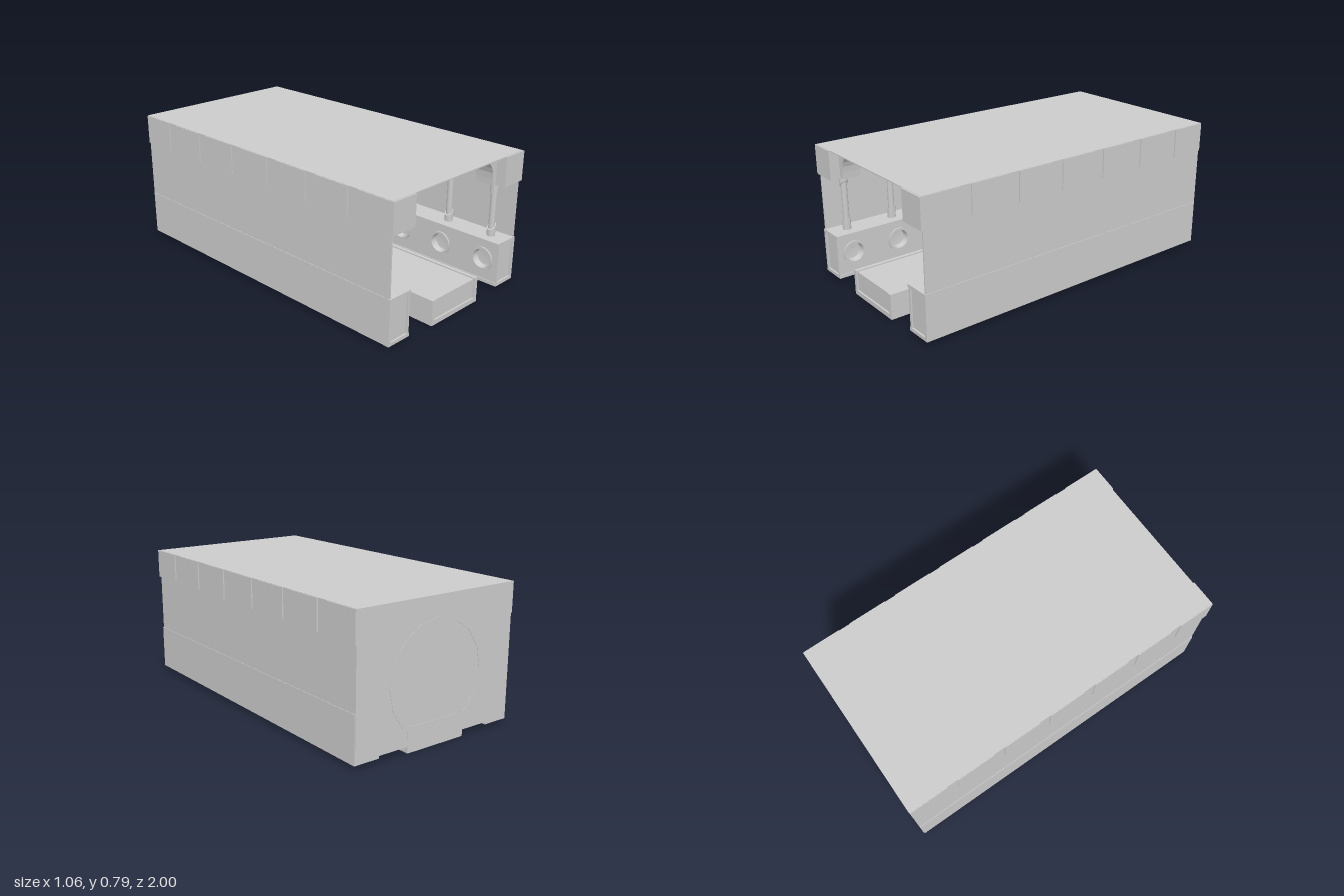
import * as THREE from 'three';
import { toCreasedNormals } from 'three/addons/utils/BufferGeometryUtils.js';

const BAYS = 7, PITCH = 0.295;
const mat = new THREE.MeshStandardMaterial({ color: 0xcccccc });

function add(parent, name, geometry, x = 0, y = 0, z = 0) {
  const mesh = new THREE.Mesh(geometry, mat);
  mesh.name = name;
  mesh.position.set(x, y, z);
  parent.add(mesh);
  return mesh;
}

// Box given by its limits on each axis
function box(parent, name, [x0, x1], [y0, y1], [z0, z1]) {
  const g = new THREE.BoxGeometry(Math.abs(x1 - x0), y1 - y0, z1 - z0);
  return add(parent, name, g, (x0 + x1) / 2, (y0 + y1) / 2, (z0 + z1) / 2);
}

function rectShape(x0, x1, y0, y1) {
  return new THREE.Shape([[x0, y0], [x1, y0], [x1, y1], [x0, y1]].map(p => new THREE.Vector2(...p)));
}

function circlePoints(r, n, cx = 0, cy = 0) {
  return Array.from({ length: n }, (_, i) => {
    const a = i / n * Math.PI * 2;
    return new THREE.Vector2(cx + r * Math.cos(a), cy + r * Math.sin(a));
  });
}

const extrude = (shape, depth) => new THREE.ExtrudeGeometry(shape, { depth, bevelEnabled: false });

// Sleeve whose free end is cut on a slant; end = 1 slants the top, -1 the bottom
function sleeveGeometry(r, h, end) {
  const g = new THREE.CylinderGeometry(r, r, h, 16);
  const p = g.attributes.position;
  for (let i = 0; i < p.count; i++) {
    if (p.getY(i) * end > 0) p.setY(i, p.getY(i) + p.getX(i) * 0.77);
  }
  g.computeVertexNormals();
  return toCreasedNormals(g, 0.7);
}

// Round recessed lamp with a raised rim
function lampGeometry() {
  const profile = [[0.07, -0.005], [0.07, 0.009], [0.056, 0.009], [0.05, -0.03], [0, -0.036]];
  return toCreasedNormals(new THREE.LatheGeometry(profile.map(p => new THREE.Vector2(...p)), 24), 0.6);
}

// Cove bracket between ceiling and block
function bracketGeometry(s, depth) {
  const pts = [[0.37, 0.785], [0.283, 0.785], [0.283, 0.762], [0.309, 0.745], [0.327, 0.72],
    [0.338, 0.69], [0.342, 0.655], [0.344, 0.62], [0.37, 0.62]];
  return extrude(new THREE.Shape(pts.map(([x, y]) => new THREE.Vector2(s * x, y))), depth);
}

function buildSide(s) {
  const side = new THREE.Group();
  side.name = s > 0 ? 'leftSide' : 'rightSide';
  const zs = Array.from({ length: BAYS }, (_, i) => (3 - i) * PITCH);
  const bx = (name, x0, x1, y, z) => box(side, name, [s * x0, s * x1], y, z);

  // Outer wall
  bx('sideWall', 0.517, 0.525, [0.27, 0.785], [-0.995, 0.985]);

  // Low bench: core, framed by top, base and outer plates
  bx('benchCore', 0.415, 0.51, [0.04, 0.262], [-0.995, 0.98]);
  bx('benchTop', 0.371, 0.528, [0.262, 0.28], [-0.995, 0.99]);
  bx('benchBase', 0.373, 0.528, [0.02, 0.04], [-0.995, 0.99]);
  bx('benchOuterPlate', 0.51, 0.528, [0.04, 0.262], [-0.995, 0.99]);

  // Inner bench face, pierced for the lamps
  const face = rectShape(-0.99, 0.99, 0.04, 0.262);
  zs.forEach(z => face.holes.push(new THREE.Path(circlePoints(0.06, 24, z, 0.16))));
  const thick = 0.012;
  const faceGeo = extrude(face, thick).rotateY(Math.PI / 2);
  add(side, 'benchInnerFace', faceGeo, s > 0 ? 0.378 : -0.378 - thick, 0, 0);
  bx('benchFrontFill', 0.39, 0.415, [0.04, 0.262], [0.97, 0.98]);

  const lamp = lampGeometry();
  const shaft = new THREE.CylinderGeometry(0.018, 0.018, 0.34, 16, 1, true);
  const lowSleeve = sleeveGeometry(0.024, 0.056, 1);
  const highSleeve = sleeveGeometry(0.024, 0.061, -1);
  const bracket = bracketGeometry(s, 0.11);

  zs.forEach(z => {
    add(side, 'lamp', lamp, s * 0.378, 0.16, z).rotation.z = s * Math.PI / 2;
    add(side, 'columnShaft', shaft, s * 0.448, 0.447, z);
    add(side, 'columnLowerSleeve', lowSleeve, s * 0.448, 0.308, z);
    add(side, 'columnUpperSleeve', highSleeve, s * 0.448, 0.5845, z);
    bx('ceilingBlock', 0.37, 0.532, [0.615, 0.785], [z - 0.113, z + 0.113]);
    add(side, 'coveBracket', bracket, 0, 0, z - 0.055);
  });
  return side;
}

export function createModel() {
  const model = new THREE.Group();
  model.name = 'corridor';
  model.add(buildSide(1), buildSide(-1));

  box(model, 'ceiling', [-0.528, 0.528], [0.781, 0.787], [-1, 0.99]);

  // Back wall with a sixteen-sided hatch ring
  box(model, 'backWall', [-0.525, 0.525], [0.035, 0.785], [-0.998, -0.988]);
  const ring = new THREE.Shape(circlePoints(0.315, 16));
  ring.holes.push(new THREE.Path(circlePoints(0.3, 16)));
  add(model, 'hatchRing', extrude(ring, 0.016), 0.003, 0.362, -1);

  // Raised walkway with side rails
  box(model, 'walkwayDeck', [-0.17, 0.17], [0.027, 0.138], [-1, 0.98]);
  box(model, 'walkwayBase', [-0.192, 0.192], [0, 0.027], [-1, 0.99]);
  for (const s of [-1, 1]) {
    box(model, 'walkwayRail', [s * 0.17, s * 0.192], [0.027, 0.145], [-1, 0.99]);
  }
  return model;
}
